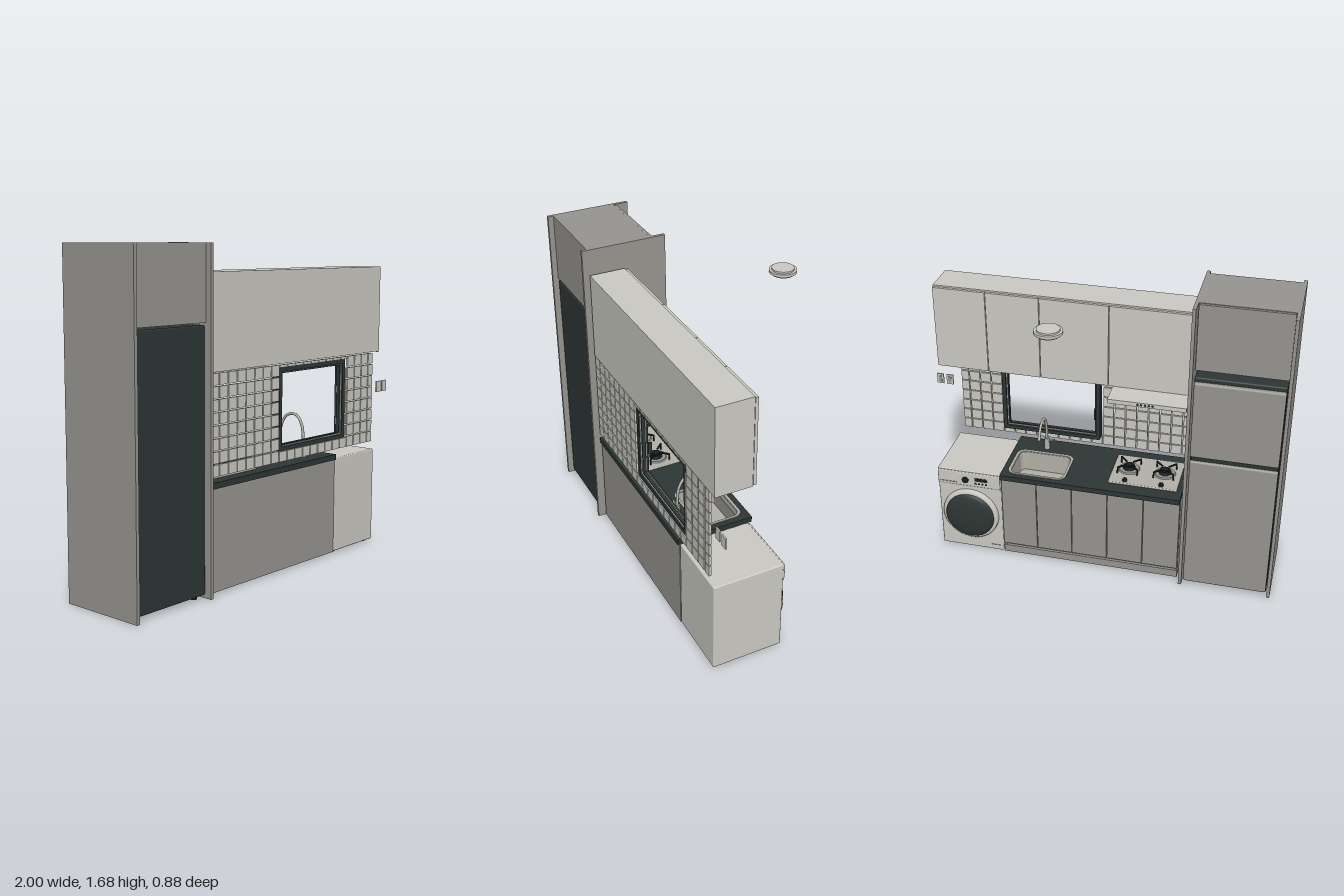
import * as THREE from 'three';
import { RoundedBoxGeometry } from 'three/addons/geometries/RoundedBoxGeometry.js';

const mat = (name, color, side = THREE.FrontSide) => {
  const m = new THREE.MeshStandardMaterial({ color, side });
  m.name = name;
  return m;
};

export function createModel() {
  const light = mat('offWhite', 0xcbcac3);
  const grey = mat('cabinetGrey', 0x979590);
  const dark = mat('darkSlate', 0x2d3735);
  const black = mat('black', 0x1b2020);
  const steel = mat('steel', 0xb4b0a9, THREE.DoubleSide);

  const root = new THREE.Group();
  root.name = 'kitchen';
  const group = (name) => {
    const g = new THREE.Group();
    g.name = name;
    root.add(g);
    return g;
  };
  const add = (g, name, geo, m, x = 0, y = 0, z = 0) => {
    const mesh = new THREE.Mesh(geo, m);
    mesh.name = name;
    mesh.position.set(x, y, z);
    g.add(mesh);
    return mesh;
  };
  // Box given by its limits; r rounds the edges
  const box = (g, name, m, x0, x1, y0, y1, z0, z1, r = 0) => {
    const s = [x1 - x0, y1 - y0, z1 - z0];
    const geo = r ? new RoundedBoxGeometry(...s, 3, r) : new THREE.BoxGeometry(...s);
    return add(g, name, geo, m, (x0 + x1) / 2, (y0 + y1) / 2, (z0 + z1) / 2);
  };
  const roundRect = (path, x0, x1, y0, y1, r) => {
    path.moveTo(x0 + r, y0);
    path.lineTo(x1 - r, y0);
    path.absarc(x1 - r, y0 + r, r, -Math.PI / 2, 0);
    path.lineTo(x1, y1 - r);
    path.absarc(x1 - r, y1 - r, r, 0, Math.PI / 2);
    path.lineTo(x0 + r, y1);
    path.absarc(x0 + r, y1 - r, r, Math.PI / 2, Math.PI);
    path.lineTo(x0, y0 + r);
    path.absarc(x0 + r, y0 + r, r, Math.PI, Math.PI * 1.5);
    return path;
  };
  // Shape drawn in x and -z, standing upwards from y
  const flat = (g, name, shape, depth, m, y) => {
    const geo = new THREE.ExtrudeGeometry(shape, { depth, bevelEnabled: false, curveSegments: 8 });
    geo.rotateX(-Math.PI / 2);
    return add(g, name, geo, m, 0, y, 0);
  };

  // Tall housing with fridge
  const tall = group('tallUnit');
  box(tall, 'sidePanel', grey, -1, -0.982, 0, 1.68, -0.02, 0.44);
  box(tall, 'sidePanel', grey, -0.513, -0.495, 0, 1.68, -0.02, 0.44);
  box(tall, 'topCabinet', grey, -0.982, -0.513, 1.315, 1.68, 0.062, 0.41);
  box(tall, 'topCabinetDoor', grey, -0.979, -0.516, 1.32, 1.678, 0.045, 0.06);
  const fridge = group('fridge');
  box(fridge, 'fridgeBody', dark, -0.978, -0.52, 0.02, 1.305, 0, 0.41, 0.008);
  box(fridge, 'upperDoor', grey, -0.976, -0.522, 0.85, 1.285, -0.027, 0.002, 0.01);
  box(fridge, 'lowerDoor', grey, -0.976, -0.522, 0.035, 0.825, -0.027, 0.002, 0.01);
  box(fridge, 'doorGap', dark, -0.97, -0.528, 0.82, 0.855, -0.012, 0.002);
  for (const x of [-0.94, -0.56]) for (const z of [0.04, 0.37])
    add(fridge, 'foot', new THREE.CylinderGeometry(0.016, 0.016, 0.022, 16), black, x, 0.011, z);

  // Wall cabinets
  const upper = group('wallCabinets');
  box(upper, 'wallCabinetBody', light, -0.48, 0.9, 1.08, 1.547, 0.218, 0.41);
  box(upper, 'endPanel', light, 0.9, 0.908, 1.076, 1.547, 0.218, 0.41);
  const seams = [-0.48, -0.04, 0.33, 0.62, 0.908];
  for (let i = 0; i < 4; i++)
    box(upper, 'wallCabinetDoor', light, seams[i] + 0.002, seams[i + 1] - 0.002, 1.08, 1.54, 0.2, 0.215);

  // Extractor hood with slatted underside
  const hood = group('hood');
  box(hood, 'hoodBody', light, -0.48, -0.065, 1.055, 1.079, 0.065, 0.4);
  box(hood, 'hoodFilter', black, -0.44, -0.105, 1.05, 1.056, 0.11, 0.33);
  for (let i = 0; i < 9; i++)
    box(hood, 'filterSlat', grey, -0.435, -0.11, 1.044, 1.051, 0.12 + i * 0.024, 0.126 + i * 0.024);
  for (let i = 0; i < 5; i++)
    box(hood, 'hoodButton', black, -0.31 + i * 0.02, -0.3 + i * 0.02, 1.063, 1.071, 0.062, 0.066);

  // Wall tiles around the window opening
  const tiles = group('wallTiles');
  const px = 0.0645, py = 0.0625, win = { x0: 0.04, x1: 0.6, y0: 0.632, y1: 1.06 };
  for (let i = 0; i < 21; i++) for (let j = 0; j < 8; j++) {
    let x0 = -0.48 + i * px, x1 = Math.min(x0 + px, 0.858) - 0.006;
    let y0 = 0.58 + j * py, y1 = y0 + py - 0.006;
    const inX = x1 > win.x0 && x0 < win.x1;
    const inY = y1 > win.y0 && y0 < win.y1;
    if (inX && inY) {
      if (j === 0) y1 = win.y0;
      else if (j === 7) y0 = win.y1;
      else if (x0 < win.x0) x1 = win.x0;
      else if (x1 > win.x1) x0 = win.x1;
      else continue;
    }
    if (x1 - x0 > 0.004 && y1 - y0 > 0.004)
      box(tiles, 'tile', light, x0, x1, y0, y1, 0.395, 0.408);
  }

  // Window frame
  const windowGroup = group('window');
  const ring = (name, m, x0, x1, y0, y1, t, z0, z1) => {
    const s = roundRect(new THREE.Shape(), x0, x1, y0, y1, 0.004);
    s.holes.push(roundRect(new THREE.Path(), x0 + t, x1 - t, y0 + t, y1 - t, 0.002));
    add(windowGroup, name, new THREE.ExtrudeGeometry(s, { depth: z1 - z0, bevelEnabled: false }), m, 0, 0, z0);
  };
  ring('windowFrame', dark, win.x0, win.x1, win.y0, win.y1, 0.022, 0.352, 0.402);
  ring('windowSash', light, 0.06, 0.58, 0.652, 1.04, 0.006, 0.365, 0.395);
  ring('windowGasket', dark, 0.064, 0.576, 0.656, 1.036, 0.008, 0.37, 0.39);
  box(windowGroup, 'windowHandle', dark, 0.062, 0.07, 0.77, 0.835, 0.335, 0.355);

  // Base cabinets, open inside to take the sink
  const base = group('baseCabinets');
  box(base, 'baseBack', grey, -0.48, 0.52, 0.01, 0.524, 0.385, 0.4);
  box(base, 'baseFloor', grey, -0.48, 0.52, 0.01, 0.06, 0.04, 0.385);
  for (const x of [-0.48, 0.505]) box(base, 'baseSide', grey, x, x + 0.015, 0.01, 0.524, 0.035, 0.386);
  box(base, 'baseFrontBoard', grey, -0.466, 0.506, 0.06, 0.52, 0.035, 0.045);
  box(base, 'plinth', grey, -0.48, 0.52, 0.01, 0.055, 0.025, 0.042);
  for (let i = 0; i < 5; i++)
    box(base, 'baseDoor', grey, -0.478 + i * 0.2, -0.282 + i * 0.2, 0.075, 0.51, 0.018, 0.034);

  // Worktop with sink cut-out
  const top = roundRect(new THREE.Shape(), -0.48, 0.52, -0.41, 0.005, 0.003);
  top.holes.push(roundRect(new THREE.Path(), 0.175, 0.475, -0.26, -0.04, 0.035));
  flat(base, 'worktop', top, 0.03, dark, 0.522);

  // Sink
  const sink = group('sink');
  const rim = roundRect(new THREE.Shape(), 0.163, 0.487, -0.272, -0.028, 0.045);
  rim.holes.push(roundRect(new THREE.Path(), 0.176, 0.474, -0.259, -0.041, 0.034));
  flat(sink, 'sinkRim', rim, 0.005, steel, 0.551);
  const wall = roundRect(new THREE.Shape(), 0.175, 0.475, -0.26, -0.04, 0.035);
  wall.holes.push(roundRect(new THREE.Path(), 0.178, 0.472, -0.257, -0.043, 0.032));
  flat(sink, 'sinkWall', wall, 0.12, steel, 0.432);
  flat(sink, 'sinkFloor', roundRect(new THREE.Shape(), 0.175, 0.475, -0.26, -0.04, 0.035), 0.004, steel, 0.43);
  add(sink, 'drain', new THREE.CylinderGeometry(0.018, 0.018, 0.004, 24), light, 0.32, 0.436, 0.15);
  add(sink, 'drainHole', new THREE.CylinderGeometry(0.008, 0.008, 0.002, 16), black, 0.32, 0.439, 0.15);

  // Faucet
  const faucet = group('faucet');
  const neck = new THREE.CatmullRomCurve3([[0.56, 0.325], [0.64, 0.325], [0.72, 0.315], [0.768, 0.285],
    [0.778, 0.25], [0.763, 0.21], [0.73, 0.185], [0.7, 0.172]].map(([y, z]) => new THREE.Vector3(0.34, y, z)));
  add(faucet, 'faucetNeck', new THREE.TubeGeometry(neck, 40, 0.0075, 12), steel);
  add(faucet, 'faucetBase', new THREE.CylinderGeometry(0.013, 0.017, 0.07, 20), steel, 0.34, 0.585, 0.325);
  const tip = add(faucet, 'faucetTip', new THREE.CylinderGeometry(0.009, 0.009, 0.02, 16), steel, 0.34, 0.705, 0.174);
  tip.rotation.x = 0.4;
  const lever = add(faucet, 'faucetLever', new THREE.CylinderGeometry(0.005, 0.005, 0.045, 12), steel, 0.315, 0.605, 0.325);
  lever.rotation.z = 1.2;

  // Gas hob
  const hob = group('hob');
  box(hob, 'hobPlate', steel, -0.45, -0.07, 0.55, 0.562, 0.07, 0.345, 0.005);
  for (const x of [-0.36, -0.16]) {
    add(hob, 'burnerTray', new THREE.CylinderGeometry(0.055, 0.06, 0.008, 28), grey, x, 0.565, 0.215);
    add(hob, 'burner', new THREE.CylinderGeometry(0.03, 0.036, 0.02, 24), black, x, 0.576, 0.215);
    add(hob, 'burnerCap', new THREE.CylinderGeometry(0.02, 0.02, 0.008, 24), black, x, 0.59, 0.215);
    for (let k = 0; k < 4; k++) {
      const a = k * Math.PI / 2 + Math.PI / 4;
      const bar = add(hob, 'grateBar', new THREE.BoxGeometry(0.055, 0.008, 0.007), black,
        x + Math.cos(a) * 0.052, 0.597, 0.215 + Math.sin(a) * 0.052);
      bar.rotation.y = -a;
      add(hob, 'grateLeg', new THREE.BoxGeometry(0.007, 0.036, 0.007), black,
        x + Math.cos(a) * 0.077, 0.58, 0.215 + Math.sin(a) * 0.077);
    }
    add(hob, 'hobKnob', new THREE.CylinderGeometry(0.012, 0.014, 0.016, 16), black, x, 0.569, 0.095);
  }

  // Washing machine
  const washer = group('washingMachine');
  box(washer, 'washerBody', light, 0.524, 0.888, 0.012, 0.53, 0.022, 0.4, 0.006);
  box(washer, 'controlPanel', light, 0.526, 0.886, 0.44, 0.526, 0.012, 0.03, 0.005);
  box(washer, 'panelLine', grey, 0.526, 0.886, 0.434, 0.439, 0.018, 0.024);
  box(washer, 'detergentDrawer', grey, 0.775, 0.873, 0.455, 0.458, 0.009, 0.013);
  box(washer, 'display', black, 0.6, 0.67, 0.478, 0.498, 0.009, 0.013);
  for (let i = 0; i < 4; i++) box(washer, 'washerButton', black, 0.6 + i * 0.02, 0.612 + i * 0.02, 0.458, 0.465, 0.009, 0.013);
  const turned = (name, pts, m, x, y) => {
    const geo = new THREE.LatheGeometry(pts.map(([r, h]) => new THREE.Vector2(r, h)), 48);
    geo.rotateX(-Math.PI / 2);
    add(washer, name, geo, m, x, y, 0.024);
  };
  turned('programDial', [[0.018, 0], [0.018, 0.022], [0.015, 0.026], [0, 0.026]], black, 0.725, 0.48);
  turned('doorRing', [[0.162, 0], [0.16, 0.018], [0.152, 0.026], [0.136, 0.026]], light, 0.706, 0.25);
  turned('doorGlass', [[0.141, 0.02], [0.139, 0.034], [0.125, 0.043], [0.09, 0.05], [0.045, 0.054], [0, 0.055]], dark, 0.706, 0.25);
  box(washer, 'filterHatch', grey, 0.545, 0.6, 0.045, 0.048, 0.019, 0.023);
  for (const x of [0.56, 0.85]) for (const z of [0.06, 0.36])
    add(washer, 'washerFoot', new THREE.CylinderGeometry(0.016, 0.016, 0.014, 16), black, x, 0.007, z);

  // Wall sockets
  const sockets = group('sockets');
  for (const x of [0.905, 0.961]) {
    box(sockets, 'socketPlate', light, x, x + 0.039, 0.85, 0.91, 0.394, 0.402);
    box(sockets, 'socketRocker', grey, x + 0.01, x + 0.029, 0.862, 0.898, 0.391, 0.395);
  }

  // Ceiling light
  const lamp = group('ceilingLight');
  const disc = (name, r, y0, y1, m) =>
    add(lamp, name, new THREE.CylinderGeometry(r, r, y1 - y0, 40), m, 0.115, (y0 + y1) / 2, -0.37);
  disc('lampMount', 0.056, 1.67, 1.68, light);
  disc('lampBody', 0.069, 1.657, 1.671, light);
  disc('lampDiffuser', 0.058, 1.648, 1.658, light);
  return root;
}
